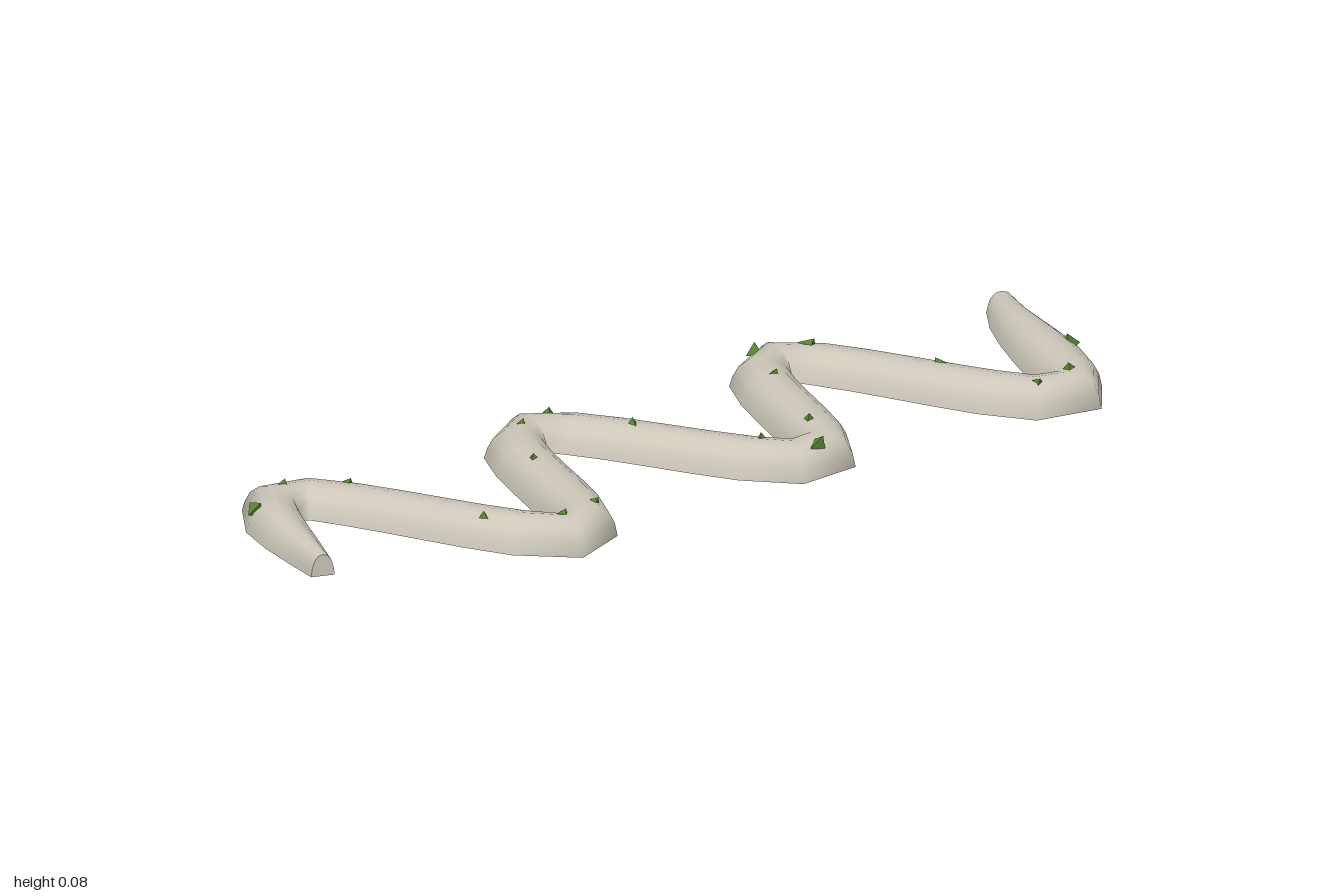
import * as THREE from 'three';

const stone = new THREE.MeshStandardMaterial({ color: 0xccc7b9 });
stone.name = 'pale stone';
const moss = new THREE.MeshStandardMaterial({ color: 0x558b2f, flatShading: true });
moss.name = 'moss green';

// Crests of the winding centreline as [x, z]; the first and last lie beyond the ends
const crests = [[-1.1, 0.25], [-0.8, -0.258], [-0.505, 0.248], [-0.205, -0.24], [0.115, 0.217],
  [0.41, -0.245], [0.705, 0.25], [1.03, -0.27]];
const START = -0.978, END = 0.972, SEGMENTS = 44;

function centreZ(x) {
  let i = 0;
  while (i < crests.length - 2 && x > crests[i + 1][0]) i++;
  const [x0, z0] = crests[i], [x1, z1] = crests[i + 1];
  return z0 + (z1 - z0) * (1 - Math.cos(Math.PI * (x - x0) / (x1 - x0))) / 2;
}

// Domed section: [sideways, height], from the right foot over the top to the left foot
const half = [[0.062, 0], [0.056, 0.028], [0.045, 0.048], [0.025, 0.062]];
const section = [...half.map(([a, h]) => [-a, h]), [0, 0.066], ...half.slice().reverse()];

function taper(u) {
  const ease = (t) => Math.sin(Math.min(1, t) * Math.PI / 2);
  return Math.min(0.38 + 0.62 * ease(u / 0.1), 0.48 + 0.52 * ease((1 - u) / 0.1));
}

function buildBody() {
  const dense = [];
  for (let i = 0; i <= 200; i++) {
    const x = START + (END - START) * i / 200;
    dense.push(new THREE.Vector3(x, 0, centreZ(x)));
  }
  const path = new THREE.CatmullRomCurve3(dense);
  path.arcLengthDivisions = 800;
  const pts = path.getSpacedPoints(SEGMENTS);

  const rings = pts.map((p, i) => {
    const t = pts[Math.min(i + 1, SEGMENTS)].clone().sub(pts[Math.max(i - 1, 0)]).normalize();
    const w = taper(i / SEGMENTS), tall = 0.7 + 0.3 * Math.min(1, (w - 0.38) / 0.62);
    return section.map(([a, h]) => {
      const x = p.x + t.z * a * w, z = p.z - t.x * a * w;
      const foot = Math.max(0, 0.005 - 0.015 * z);
      return [x, h === 0 ? foot : Math.max(foot, h * tall), z];
    });
  });

  const n = section.length, pos = [], index = [];
  const add = (ring) => {
    const first = pos.length / 3;
    ring.forEach((v) => pos.push(...v));
    return first;
  };
  const quad = (a, b, c, d) => index.push(a, b, c, a, c, d);

  // Smooth upper surface
  rings.forEach(add);
  for (let i = 0; i < SEGMENTS; i++) {
    for (let j = 0; j < n - 1; j++) {
      const a = i * n + j, b = a + n;
      quad(a, b, b + 1, a + 1);
    }
  }
  // Flat underside
  const base = pos.length / 3;
  rings.forEach((r) => add([r[0], r[n - 1]]));
  for (let i = 0; i < SEGMENTS; i++) {
    const a = base + i * 2;
    quad(a, a + 1, a + 3, a + 2);
  }
  // End caps
  const s = add(rings[0]), e = add(rings[SEGMENTS]);
  for (let j = 1; j < n - 1; j++) index.push(s, s + j, s + j + 1, e, e + j + 1, e + j);

  const geo = new THREE.BufferGeometry();
  geo.setAttribute('position', new THREE.Float32BufferAttribute(pos, 3));
  geo.setIndex(index);
  geo.computeVertexNormals();
  const mesh = new THREE.Mesh(geo, stone);
  mesh.name = 'windingWall';
  return mesh;
}

// Small three-sided tufts scattered along the top, as [x, z]
const tuftSpots = [[-0.905, -0.2], [-0.8, -0.245], [-0.7, -0.175], [-0.63, 0.13], [-0.52, 0.23],
  [-0.425, 0.21], [-0.35, -0.05], [-0.235, -0.215], [-0.15, -0.235], [-0.08, -0.075],
  [0.045, 0.145], [0.115, 0.23], [0.185, 0.12], [0.31, -0.12], [0.385, -0.26],
  [0.47, -0.2], [0.585, 0.03], [0.65, 0.24], [0.74, 0.225], [0.865, 0.08]];

function buildTufts() {
  const group = new THREE.Group();
  group.name = 'mossTufts';
  let seed = 7;
  const rand = () => (seed = (seed * 16807) % 2147483647) / 2147483647;
  for (let i = 0; i < 20; i++) rand();
  const geo = new THREE.ConeGeometry(0.022, 0.028, 3);
  tuftSpots.forEach(([x, z]) => {
    // Distance to the centreline sets the height on the dome
    let d = 1;
    for (let k = -20; k <= 20; k++) {
      const cx = Math.min(END, Math.max(START, x + k * 0.005));
      d = Math.min(d, Math.hypot(cx - x, centreZ(cx) - z));
    }
    const y = 0.066 * Math.sqrt(Math.max(0.4, 1 - (d / 0.062) ** 2));
    const tuft = new THREE.Mesh(geo, moss);
    tuft.name = 'mossTuft';
    tuft.position.set(x, y - 0.001, z);
    tuft.rotation.set((rand() - 0.5) * 0.9, rand() * Math.PI * 2, (rand() - 0.5) * 0.9);
    tuft.scale.setScalar(0.75 + rand() * 0.35);
    group.add(tuft);
  });
  return group;
}

export function createModel() {
  const model = new THREE.Group();
  model.name = 'windingGardenWall';
  model.add(buildBody(), buildTufts());
  return model;
}
